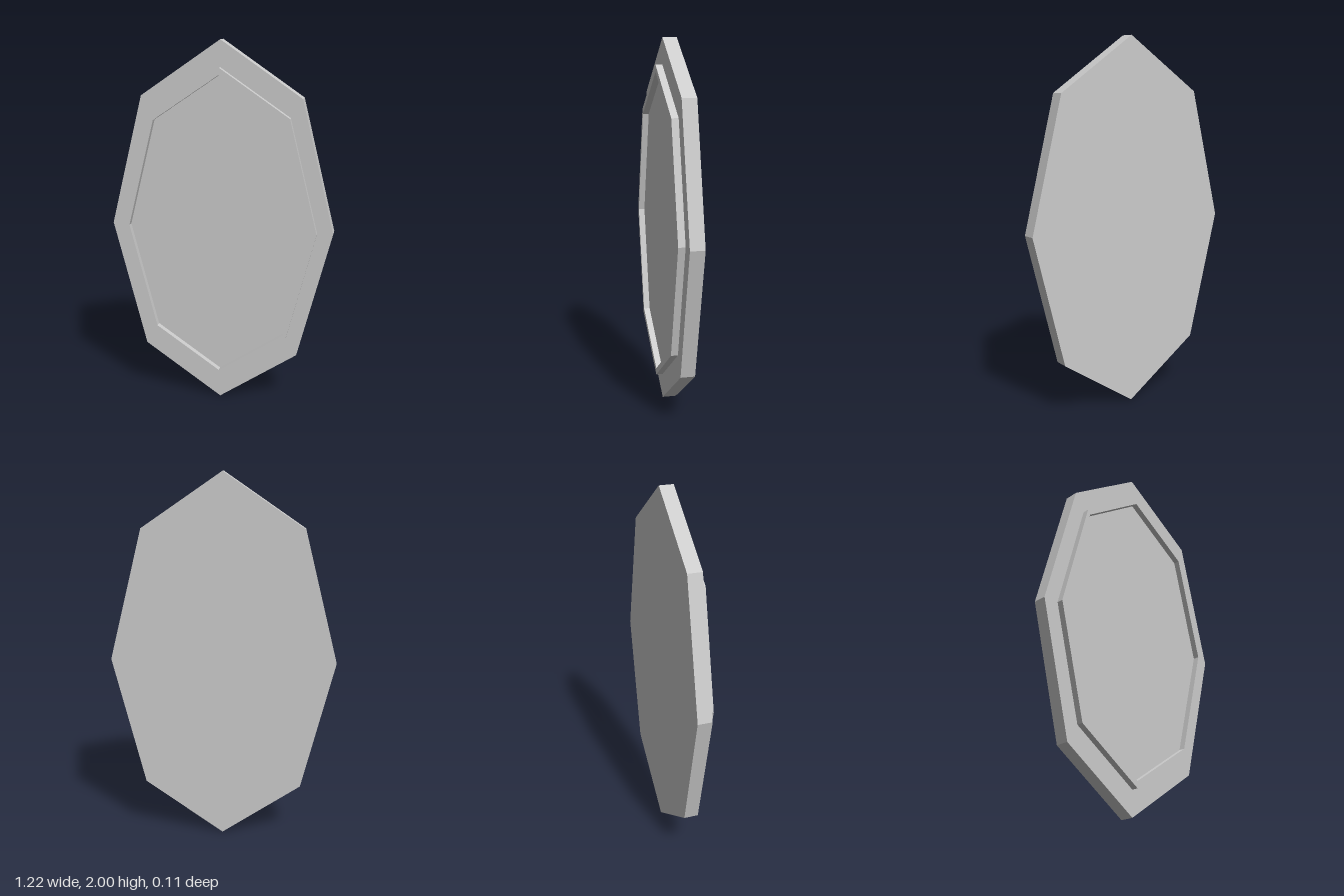
import * as THREE from 'three';

const material = new THREE.MeshStandardMaterial({ color: 0xcccccc, flatShading: true });

// Eight-sided oval outline with the given half width and half height
function ovalPoints(rx, ry) {
  return Array.from({ length: 8 }, (_, i) => {
    const a = (i * Math.PI) / 4;
    return new THREE.Vector2(rx * Math.cos(a), ry * Math.sin(a));
  });
}

// Slab of an oval from z0 to z1, optionally with an oval opening
function ovalSlab(name, outer, z0, z1, inner) {
  const shape = new THREE.Shape(ovalPoints(...outer));
  if (inner) shape.holes.push(new THREE.Path(ovalPoints(...inner)));
  const geometry = new THREE.ExtrudeGeometry(shape, { depth: z1 - z0, bevelEnabled: false });
  geometry.translate(0, 1, z0);
  const mesh = new THREE.Mesh(geometry, material);
  mesh.name = name;
  return mesh;
}

export function createModel() {
  const group = new THREE.Group();
  group.name = 'ovalMirror';

  // Backing plate
  group.add(ovalSlab('backPlate', [0.61, 1], -0.057, 0.02));

  // Narrow raised rim around the mirror
  group.add(ovalSlab('rim', [0.526, 0.86], 0.02, 0.057, [0.505, 0.823]));

  // Recessed mirror surface inside the rim
  const glass = new THREE.Mesh(new THREE.ShapeGeometry(new THREE.Shape(ovalPoints(0.505, 0.823))), material);
  glass.name = 'mirrorGlass';
  glass.position.set(0, 1, 0.023);
  group.add(glass);

  return group;
}
